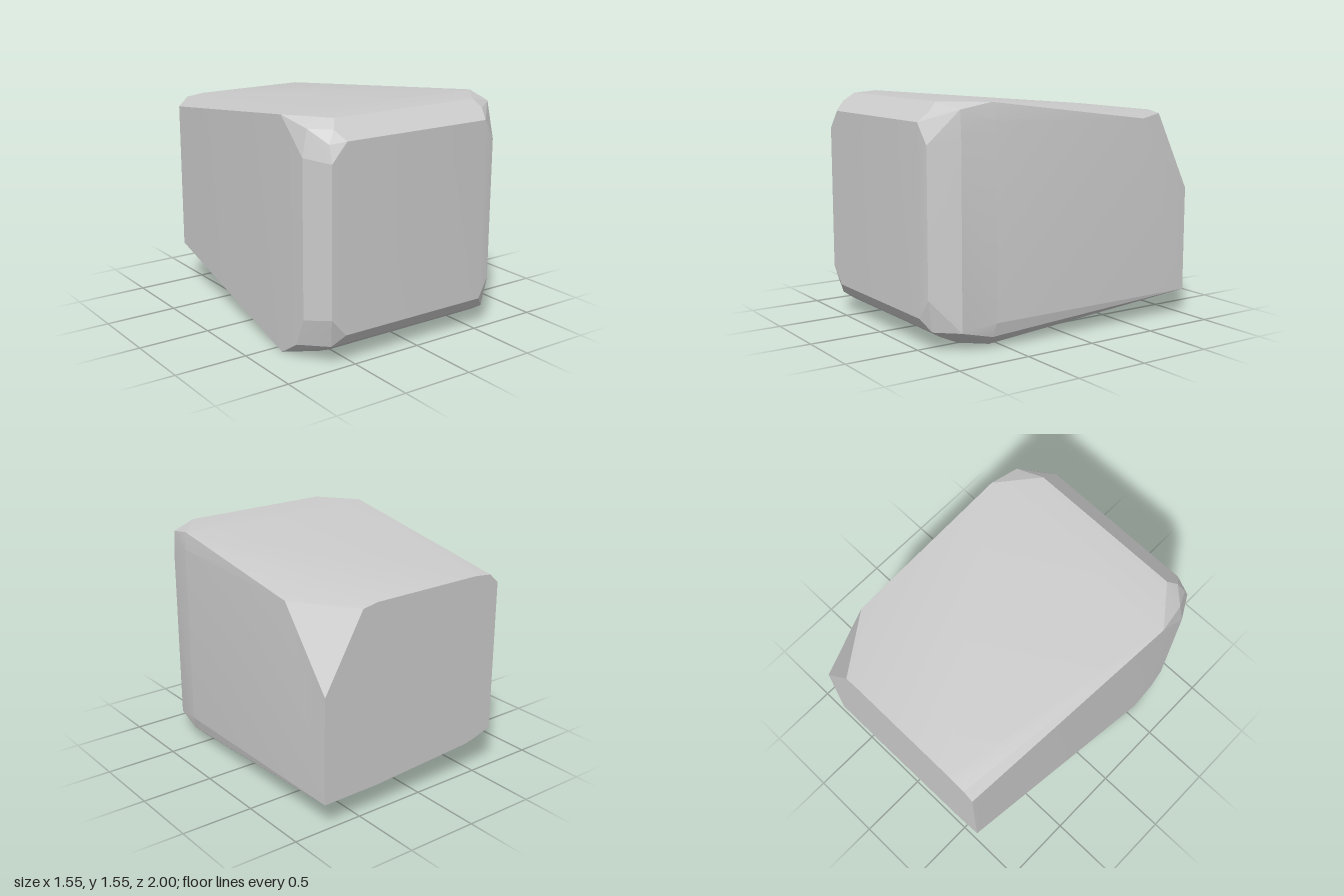
import * as THREE from 'three';
import { ConvexGeometry } from 'three/addons/geometries/ConvexGeometry.js';
import { toCreasedNormals } from 'three/addons/utils/BufferGeometryUtils.js';

export function createModel() {
  const group = new THREE.Group();
  const points = [];
  const add = (...list) => list.forEach(p => points.push(new THREE.Vector3(...p)));

  // Front face and the narrow facet beside its right edge
  add([-0.68, 0.33, 1], [-0.57, 0.21, 1], [0.53, 0.21, 1], [0.53, 1.435, 1], [-0.57, 1.435, 1], [-0.68, 1.31, 1]);
  add([0.615, 0.34, 0.985], [0.615, 1.3, 0.985]);

  // Upright bevels either side of the front
  add([-0.775, 0.3, 0.83], [-0.775, 1.33, 0.83], [0.73, 0.32, 0.81], [0.73, 1.35, 0.81]);

  // Bevel rows above and below the front: [y, z, left x, right x]
  const rows = [
    [1.5, 0.93, -0.62, 0.56], [1.555, 0.87, -0.57, 0.53],
    [0.135, 0.95, -0.65, 0.6], [0.085, 0.88, -0.62, 0.58], [0.02, 0.74, -0.6, 0.56],
  ];
  for (const [y, z, x0, x1] of rows) add([x0, y, z], [x1, y, z]);

  // Front corners
  add([-0.67, 1.42, 0.96], [-0.735, 1.5, 0.82], [0.615, 1.42, 0.93], [0.72, 1.515, 0.81]);
  add([-0.775, 0.11, 0.75], [0.73, 0.13, 0.81], [0.6, 0.13, 0.95]);

  // Widest section, just behind the front
  add([-0.775, 0, 0.58], [-0.775, 1.555, 0.6], [0.75, 1.555, 0.6], [0.77, 1.44, 0.58]);
  add([0.77, 0.17, 0.58], [0.75, 0.08, 0.6], [0.68, 0.015, 0.58], [0.6, 0, 0.53]);

  // Back face, with a cut upper corner on one side
  add([0.775, 0.175, -1], [0.36, 0.18, -1], [-0.42, 0.23, -1], [-0.51, 0.25, -1], [-0.64, 0.29, -1]);
  add([-0.64, 1.34, -1], [-0.57, 1.405, -1], [-0.44, 1.42, -1], [0.38, 1.42, -1]);
  add([0.49, 1.4, -1], [0.775, 0.9, -1], [0.775, 1.4, -0.6]);

  const body = new THREE.Mesh(
    toCreasedNormals(new ConvexGeometry(points), 0.2),
    new THREE.MeshStandardMaterial({ color: 0xcccccc })
  );
  body.name = 'bevelledBlock';
  group.add(body);
  return group;
}
